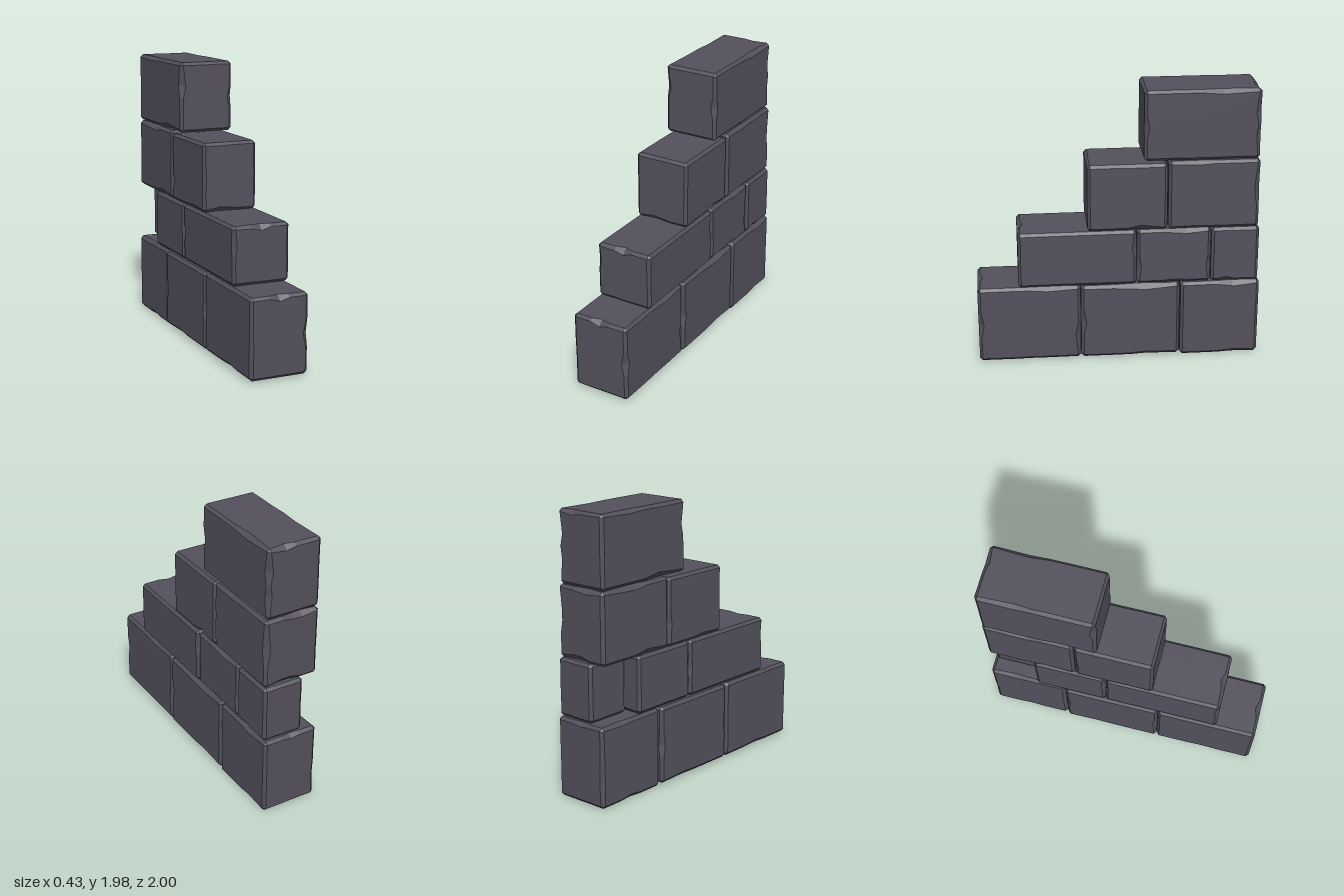
import * as THREE from 'three';

const material = new THREE.MeshStandardMaterial({ color: 0x53505c, flatShading: true });
const CHAMFER = 0.02;
const SEG = 6;

// repeatable noise in 0..1
function noise(n) {
  const s = Math.sin(n * 12.9898 + 4.1) * 43758.5453;
  return s - Math.floor(s);
}

// box with chamfered edges; the chamfer widens here and there into worn chips
function stoneGeometry(size, seed) {
  const box = new THREE.BoxGeometry(2, 2, 2, SEG, SEG, SEG);
  const pos = box.attributes.position;
  for (let i = 0; i < pos.count; i++) {
    const p = [pos.getX(i), pos.getY(i), pos.getZ(i)];
    const idx = p.map((v) => Math.round(((v + 1) / 2) * SEG));
    const depth = idx.map((k) => Math.min(k, SEG - k)); // 0 outer, 1 chamfer line, 2+ middle
    const extremes = depth.filter((d) => d === 0).length;
    const middles = depth.filter((d) => d > 1).length;

    let c = CHAMFER;
    if (middles === 1) {
      // same value for all vertices across one edge at one position
      let key = seed * 97;
      depth.forEach((d, a) => {
        key += (d > 1 ? idx[a] * 7 : p[a] > 0 ? 1 : 2) * [1, 13, 41][a];
      });
      const n = noise(key);
      c *= n > 0.75 ? 1 + (n - 0.75) * 4 : 0.9 + n * 0.25;
    }
    const outerInset = [0, 0, c / 2, (c * 2) / 3][extremes];

    const q = p.map((v, a) => {
      const half = size[a] / 2;
      if (depth[a] === 0) return Math.sign(v) * (half - outerInset);
      if (depth[a] === 1) return Math.sign(v) * (half - c);
      return v * half;
    });
    pos.setXYZ(i, ...q);
  }
  const flat = box.toNonIndexed();
  flat.computeVertexNormals();
  return flat;
}

// each stone: [x min, x max, y min, y max, z min, z max]
const courses = {
  bottomCourse: [
    [-0.215, 0.205, 0.012, 0.572, 0.275, 1.0],
    [-0.215, 0.21, 0.012, 0.568, -0.43, 0.272],
    [-0.2, 0.21, 0.0, 0.568, -1.0, -0.437],
  ],
  secondCourse: [
    [-0.205, 0.21, 0.575, 0.98, -0.12, 0.71],
    [-0.205, 0.205, 0.575, 0.98, -0.645, -0.123],
    [-0.09, 0.21, 0.572, 0.978, -0.985, -0.648], // narrow stone, set to the left
  ],
  thirdCourse: [
    [-0.2, 0.2, 0.978, 1.46, -0.335, 0.222],
    [-0.2, 0.205, 0.98, 1.475, -0.975, -0.34],
  ],
  topCourse: [[-0.2, 0.195, 1.48, 1.975, -0.97, -0.17]],
};

export function createModel() {
  const model = new THREE.Group();
  model.name = 'steppedStoneWall';
  let seed = 1;
  for (const [name, stones] of Object.entries(courses)) {
    const course = new THREE.Group();
    course.name = name;
    stones.forEach(([x0, x1, y0, y1, z0, z1], i) => {
      const stone = new THREE.Mesh(stoneGeometry([x1 - x0, y1 - y0, z1 - z0], seed++), material);
      stone.name = `stone${i + 1}`;
      stone.position.set((x0 + x1) / 2, (y0 + y1) / 2, (z0 + z1) / 2);
      course.add(stone);
    });
    model.add(course);
  }
  return model;
}
